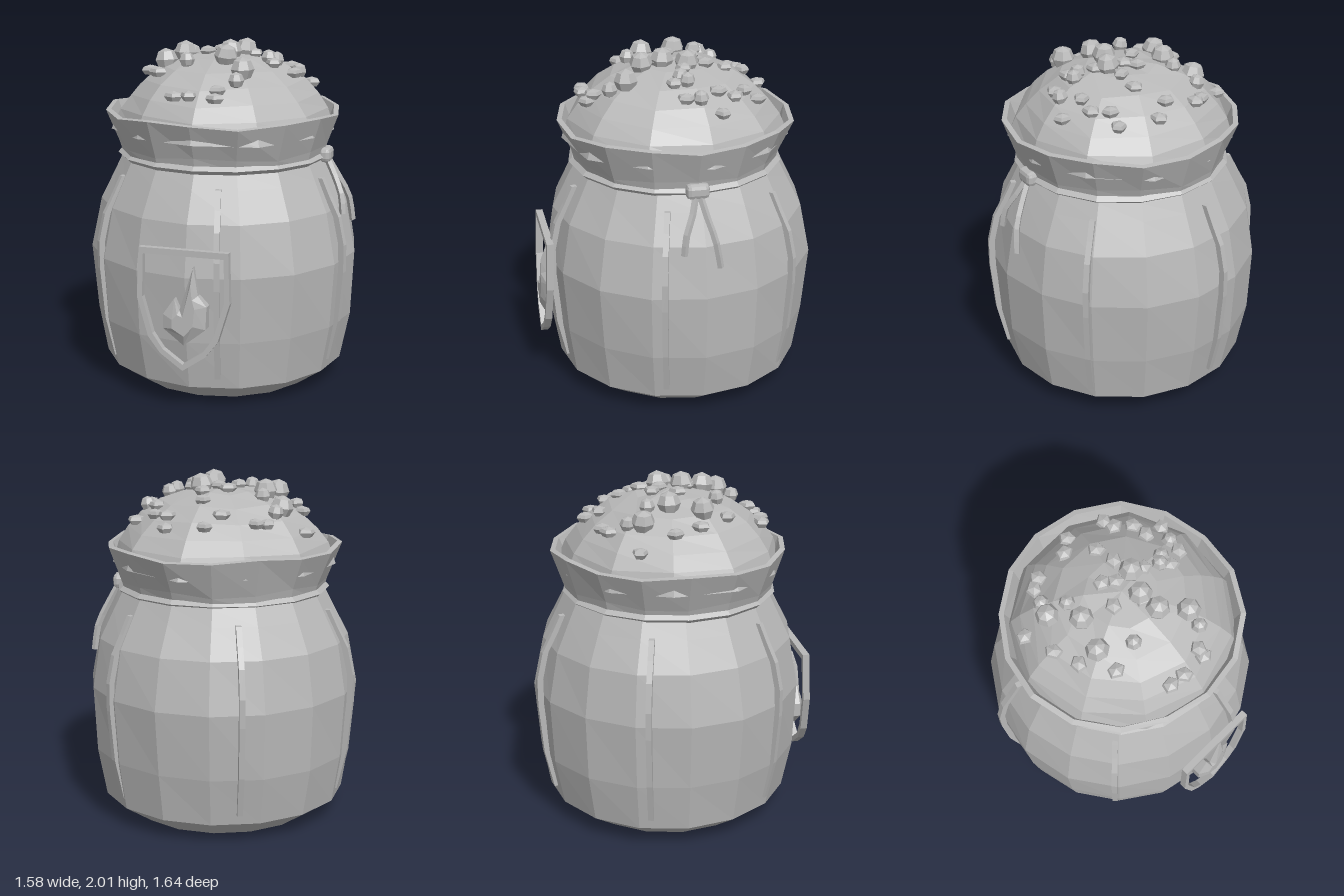
import * as THREE from 'three';
import { RoundedBoxGeometry } from 'three/addons/geometries/RoundedBoxGeometry.js';

const stone = new THREE.MeshStandardMaterial({ color: 0xb8b8b8, flatShading: true, side: THREE.DoubleSide });
stone.name = 'plain grey';

const v2 = (pts) => pts.map(([x, y]) => new THREE.Vector2(x, y));
const v3 = (pts) => pts.map((p) => new THREE.Vector3(...p));

function add(parent, name, geometry, x = 0, y = 0, z = 0) {
  const mesh = new THREE.Mesh(geometry, stone);
  mesh.name = name;
  mesh.position.set(x, y, z);
  parent.add(mesh);
  return mesh;
}

// Lathe with a gentle periodic unevenness in radius and height
function unevenLathe(points, sides, wobbleR, wobbleY, phase = 0) {
  const g = new THREE.LatheGeometry(v2(points), sides);
  const p = g.attributes.position;
  for (let i = 0; i < p.count; i++) {
    const x = p.getX(i), y = p.getY(i), z = p.getZ(i);
    const a = Math.atan2(x, z), r = Math.hypot(x, z);
    if (r < 0.001) continue;
    const k = 1 + wobbleR * Math.sin(3 * a + 7 * y + phase);
    p.setXYZ(i, x * k, y + wobbleY * Math.sin(5 * a + 9 * y + phase), z * k);
  }
  return g;
}

// Mound profile, from the rim up to the crown
const mound = [[0.655, 1.49], [0.61, 1.61], [0.55, 1.69], [0.47, 1.77], [0.36, 1.845], [0.2, 1.9], [0, 1.925]];
function moundHeight(r) {
  for (let i = 1; i < mound.length; i++) {
    const [r0, y0] = mound[i - 1], [r1, y1] = mound[i];
    if (r >= r1) return y0 + (y1 - y0) * (r - r0) / (r1 - r0);
  }
  return 1.925;
}

export function createModel() {
  const group = new THREE.Group();
  group.name = 'filledSack';

  // Sack body with a closed flat bottom
  add(group, 'sackBody', unevenLathe([
    [0, 0], [0.54, 0], [0.715, 0.12], [0.765, 0.4], [0.79, 0.78], [0.735, 1.07], [0.65, 1.24], [0.605, 1.33], [0.59, 1.36],
  ], 16, 0.006, 0), 0, 0, -0.03);

  // Flared collar, outside then inside
  add(group, 'collar', unevenLathe([
    [0.59, 1.33], [0.61, 1.4], [0.685, 1.595], [0.655, 1.6], [0.61, 1.48],
  ], 16, 0.012, 0.013, 1), 0, 0, -0.015);

  // Heaped contents, whose lower corners poke through the collar
  add(group, 'mound', unevenLathe(mound, 11, 0.018, 0.008, 2), 0, 0, -0.01);

  // Tie cord, knot and hanging ends on the left side
  const cord = add(group, 'tieCord', new THREE.TorusGeometry(0.6, 0.023, 4, 16), 0, 1.345, -0.015);
  cord.rotation.set(Math.PI / 2, 0, Math.PI / 2);
  add(group, 'knot', new RoundedBoxGeometry(0.075, 0.085, 0.13, 1, 0.025), 0.61, 1.355, -0.01);
  const tails = [
    [[0.615, 1.34, 0], [0.67, 1.24, 0.03], [0.72, 1.14, 0.075], [0.735, 1.03, 0.09]],
    [[0.615, 1.34, -0.02], [0.68, 1.22, -0.05], [0.735, 1.1, -0.085], [0.755, 0.95, -0.11]],
  ];
  for (const pts of tails) {
    add(group, 'cordEnd', new THREE.TubeGeometry(new THREE.CatmullRomCurve3(v3(pts)), 6, 0.019, 4, false));
  }

  // Six raised seams, cut from a curved strip in the radius-height plane
  const edge = [[0.73, 0.18], [0.785, 0.42], [0.812, 0.72], [0.812, 0.88], [0.775, 1.04], [0.715, 1.15], [0.665, 1.25]];
  const strip = [...edge, ...edge.slice().reverse().map(([r, y]) => [r - 0.035, y])];
  const seamGeo = new THREE.ExtrudeGeometry(new THREE.Shape(v2(strip)), { depth: 0.032, bevelEnabled: false });
  seamGeo.translate(0, 0, -0.016);
  for (let i = 0; i < 6; i++) {
    const seam = add(group, 'seam', seamGeo, 0, 0, -0.03);
    seam.rotation.y = -(17 + 60 * i) * Math.PI / 180;
  }

  // Shield-shaped frame on the front
  const badge = new THREE.Group();
  badge.name = 'badge';
  badge.position.set(0, 0.6, 0.76);
  badge.rotation.x = -0.04;
  group.add(badge);
  const mirror = (half) => [...half, ...half.slice().reverse().filter(([x]) => x > 0).map(([x, y]) => [-x, y])];
  const frame = new THREE.Shape(v2(mirror([[0, -0.34], [0.13, -0.25], [0.2, -0.16], [0.265, 0.06], [0.255, 0.345]])));
  frame.holes.push(new THREE.Path(v2(mirror([[0, -0.305], [0.115, -0.225], [0.175, -0.14], [0.235, 0.065], [0.23, 0.31]]))));
  add(badge, 'badgeFrame', new THREE.ExtrudeGeometry(frame, { depth: 0.04, bevelEnabled: false }), 0, 0, -0.005);

  // Flame relief: outline rising to a central ridge
  const outline = [[0, -0.2], [0.125, -0.1], [0.13, 0.03], [0.08, 0.09], [0.052, 0.25], [-0.025, 0.0], [-0.055, 0.065], [-0.12, -0.03], [-0.12, -0.11]];
  const inner = [[0.01, -0.14], [0.06, -0.08], [0.07, 0.02], [0.055, 0.07], [0.045, 0.15], [0, -0.03], [-0.03, -0.02], [-0.06, -0.05], [-0.06, -0.1]];
  const n = outline.length, pos = [], index = [];
  outline.forEach(([x, y]) => pos.push(x, y, -0.06));
  outline.forEach(([x, y]) => pos.push(x, y, 0.015));
  inner.forEach(([x, y]) => pos.push(x, y, 0.045));
  for (let ring = 0; ring < 2; ring++) {
    for (let i = 0; i < n; i++) {
      const a = ring * n + i, b = ring * n + (i + 1) % n;
      index.push(a, b, b + n, a, b + n, a + n);
    }
  }
  THREE.ShapeUtils.triangulateShape(v2(inner), []).forEach((f) => index.push(...f.map((i) => i + 2 * n)));
  const flame = new THREE.BufferGeometry();
  flame.setAttribute('position', new THREE.Float32BufferAttribute(pos, 3));
  flame.setIndex(index);
  flame.computeVertexNormals();
  add(badge, 'flameRelief', flame);

  // Round nuggets, large then medium: x, z
  const nugget = new THREE.SphereGeometry(1, 7, 4);
  const large = [[-0.35, -0.22], [-0.25, -0.06], [-0.31, 0.12], [0.12, -0.06], [0.06, 0.07], [0.07, 0.19], [0.195, 0.3]];
  const medium = [[-0.32, -0.3], [-0.24, -0.18], [-0.15, 0.23], [0.31, -0.02], [0.27, 0.01], [0.43, -0.07], [0.185, 0.39]];
  for (const [list, size] of [[large, 0.068], [medium, 0.046]]) {
    list.forEach(([x, z], i) => {
      const m = add(group, 'nugget', nugget, x, moundHeight(Math.hypot(x, z)) + 0.025, z);
      m.scale.setScalar(size);
      m.rotation.set(0.15 * Math.sin(i * 3), i * 1.3, 0.15 * Math.cos(i * 2));
    });
  }

  // Small flat five-sided pieces: x, z
  const chip = new THREE.LatheGeometry(v2([[0, -0.028], [0.035, -0.026], [0.054, 0], [0.044, 0.018], [0, 0.03]]), 5);
  const chips = [
    [-0.49, -0.26], [-0.46, -0.06], [-0.42, 0.09], [-0.31, 0.26], [-0.22, -0.43], [-0.28, -0.4], [-0.03, -0.42],
    [0.06, -0.49], [0.28, -0.43], [0.28, -0.35], [0.36, -0.28], [0.36, -0.18], [0.48, -0.18], [0.09, -0.29],
    [0.1, -0.17], [-0.04, -0.12], [0.02, -0.07], [-0.09, 0.02], [0.05, 0.1], [0.31, 0.05], [0.42, 0.01],
    [-0.14, 0.5], [-0.05, 0.51], [0.1, 0.47], [0.1, 0.51], [0.18, -0.03],
  ];
  chips.forEach(([x, z], i) => {
    const m = add(group, 'chip', chip, x, moundHeight(Math.hypot(x, z)) + 0.015, z);
    m.rotation.set(0, i * 2.1, 0);
    m.scale.set(1, 1, 0.85);
  });

  return group;
}
